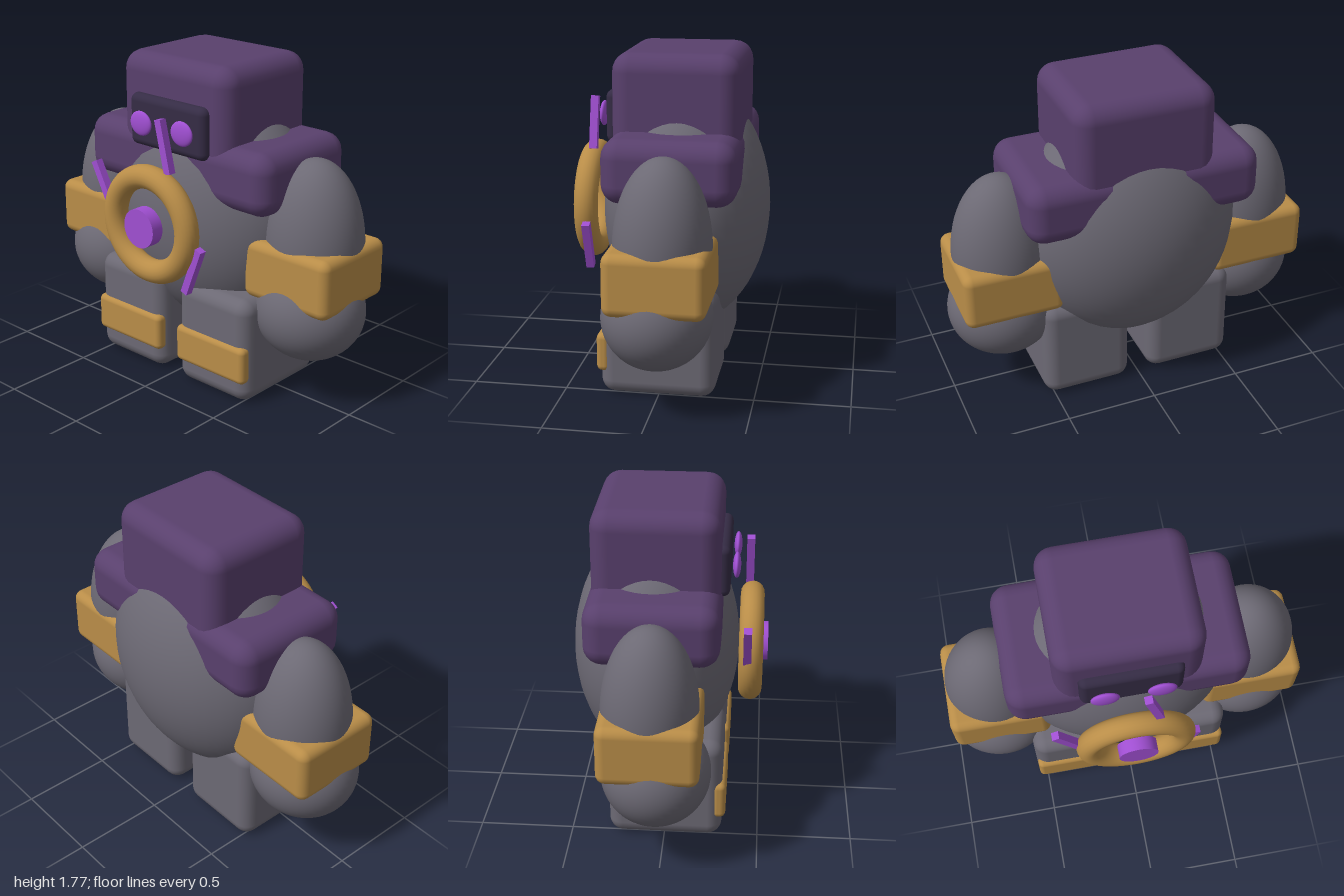
import * as THREE from 'three';
import { RoundedBoxGeometry } from 'three/addons/geometries/RoundedBoxGeometry.js';

const mat = (name, color) => {
  const m = new THREE.MeshStandardMaterial({ color });
  m.name = name;
  return m;
};

export function createModel() {
  const model = new THREE.Group();
  model.name = 'golem';

  const stone = mat('stone grey', 0x6c6974);
  const purple = mat('dark purple', 0x59406d);
  const gold = mat('gold', 0xb98d48);
  const glow = mat('bright violet', 0xa04fd2);
  const dark = mat('visor dark', 0x352c45);

  const add = (name, geometry, material, pos, parent = model) => {
    const mesh = new THREE.Mesh(geometry, material);
    mesh.name = name;
    mesh.position.set(...pos);
    parent.add(mesh);
    return mesh;
  };

  // Rounded box given by its extents on each axis
  const box = (name, material, [x0, x1], [y0, y1], [z0, z1], r, parent) =>
    add(name, new RoundedBoxGeometry(x1 - x0, y1 - y0, z1 - z0, 3, r), material,
      [(x0 + x1) / 2, (y0 + y1) / 2, (z0 + z1) / 2], parent);

  const ellipsoid = (name, material, pos, radii, parent) =>
    add(name, new THREE.SphereGeometry(1, 48, 32).scale(...radii), material, pos, parent);

  // Body, shoulder yoke and head
  ellipsoid('torso', stone, [0, 0.915, -0.075], [0.61, 0.66, 0.445]);
  box('shoulderYoke', purple, [-0.64, 0.64], [1.04, 1.375], [-0.405, 0.285], 0.1);
  box('head', purple, [-0.385, 0.385], [1.2, 1.77], [-0.39, 0.275], 0.1);
  box('visor', dark, [-0.267, 0.267], [1.285, 1.565], [0.22, 0.32], 0.04);

  // Chest ring with glowing core
  add('chestRing', new THREE.TorusGeometry(0.258, 0.064, 20, 64), gold, [0, 0.925, 0.435]);
  add('chestCore', new THREE.CylinderGeometry(0.105, 0.105, 0.07, 40).rotateX(Math.PI / 2),
    glow, [0, 0.925, 0.49]);

  // Splinters around the ring: [top x, top y, bottom x, bottom y]
  const splinters = [
    [0.06, 1.5, 0.125, 1.225],
    [-0.42, 1.18, -0.295, 0.94],
    [0.335, 0.865, 0.235, 0.605],
  ];
  for (const [ax, ay, bx, by] of splinters) {
    const s = add('splinter', new THREE.BoxGeometry(0.042, Math.hypot(ax - bx, ay - by), 0.042),
      glow, [(ax + bx) / 2, (ay + by) / 2, 0.418]);
    s.rotation.z = Math.atan2(bx - ax, ay - by);
  }

  // Eyes, arms and legs on both sides
  for (const side of [1, -1]) {
    const label = side > 0 ? 'left' : 'right';
    const span = (a, b) => (side > 0 ? [a, b] : [-b, -a]);

    ellipsoid(label + 'Eye', glow, [side * 0.145, 1.425, 0.35], [0.074, 0.066, 0.021]);

    const arm = new THREE.Group();
    arm.name = label + 'Arm';
    model.add(arm);
    ellipsoid('upperArm', stone, [side * 0.697, 0.86, -0.055], [0.265, 0.46, 0.248], arm);
    box('cuff', gold, span(0.43, 0.97), [0.575, 0.895], [-0.307, 0.206], 0.05, arm);
    ellipsoid('fist', stone, [side * 0.7, 0.51, -0.027], [0.3, 0.272, 0.282], arm);

    const leg = new THREE.Group();
    leg.name = label + 'Leg';
    model.add(leg);
    box('legBlock', stone, span(0.055, 0.55), [0, 0.58], [-0.297, 0.307], 0.075, leg);
    box('shinPlate', gold, span(0.062, 0.544), [0.123, 0.33], [0.255, 0.327], 0.03, leg);
  }

  return model;
}
